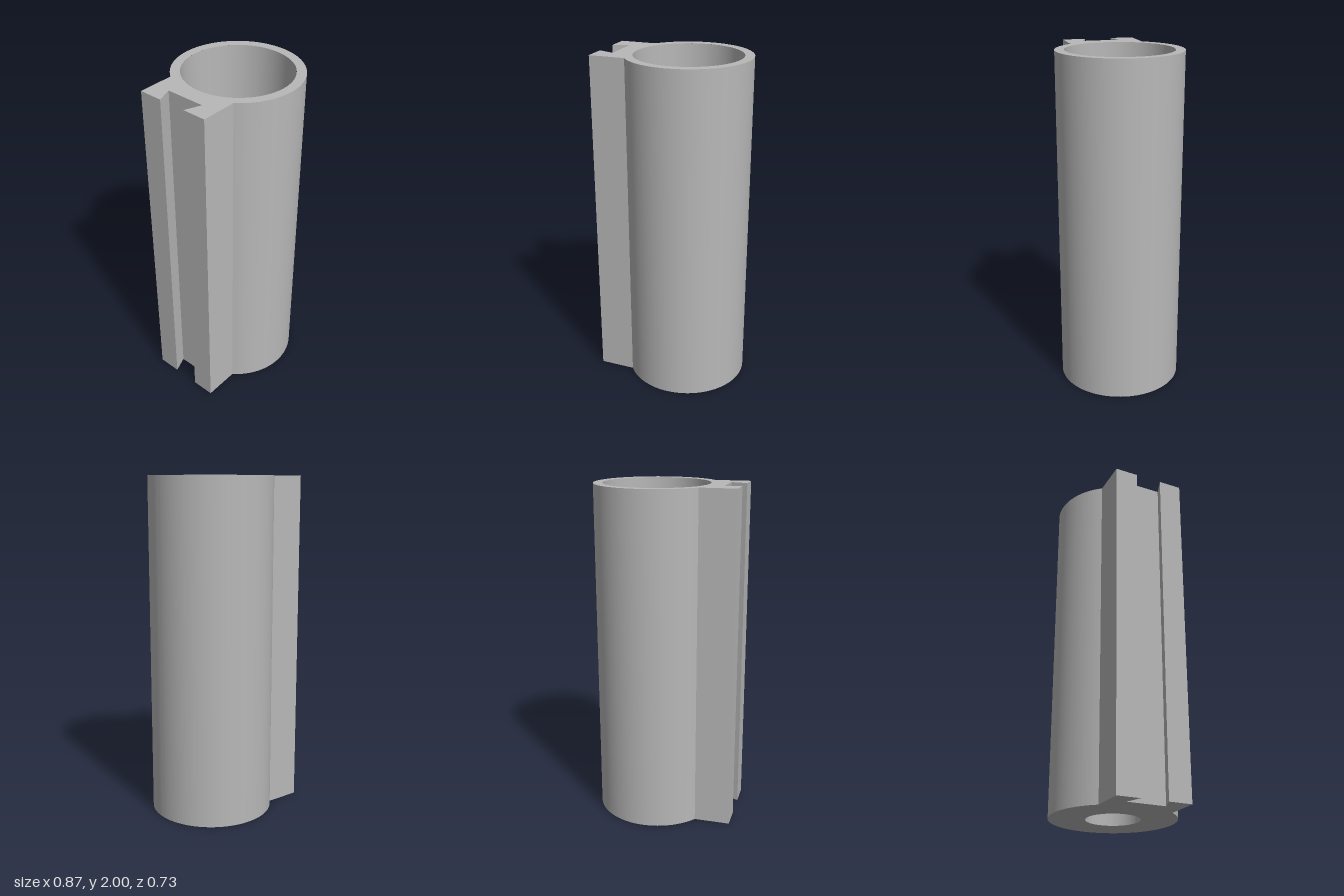
import * as THREE from 'three';
import { mergeGeometries, toCreasedNormals } from 'three/addons/utils/BufferGeometryUtils.js';

const H = 2, CX = 0.07, R = 0.363, BORE = 0.309, HOLE = 0.155, LUG = 0.217, SEG = 96;

// Round tube joined to a lug with a dovetail slot; optional hole through the tube centre
function outline(holeRadius) {
  const a = Math.PI - Math.asin(LUG / R);
  const s = new THREE.Shape();
  s.absarc(CX, 0, R, -a, a, false);
  [[-0.433, LUG], [-0.433, 0.08], [-0.338, 0.115], [-0.338, -0.115], [-0.433, -0.08], [-0.433, -LUG]]
    .forEach(([x, y]) => s.lineTo(x, y));
  s.closePath();
  if (holeRadius) s.holes.push(new THREE.Path().absarc(CX, 0, holeRadius, 0, Math.PI * 2, true));
  return s;
}

// Side walls only, with the extrusion's own caps dropped
function outerWalls() {
  const g = new THREE.ExtrudeGeometry(outline(), { depth: H, bevelEnabled: false, curveSegments: SEG });
  const { start, count } = g.groups[1];
  const walls = new THREE.BufferGeometry();
  for (const [name, size] of [['position', 3], ['normal', 3], ['uv', 2]]) {
    const part = g.attributes[name].array.slice(start * size, (start + count) * size);
    walls.setAttribute(name, new THREE.BufferAttribute(part, size));
  }
  return walls.rotateX(-Math.PI / 2);
}

export function createModel() {
  const grey = new THREE.MeshStandardMaterial({ color: 0xb8b8b8 });
  grey.name = 'plain grey';

  // End faces: wide bore at the top, small hole at the bottom
  const top = new THREE.ShapeGeometry(outline(BORE), SEG).rotateX(-Math.PI / 2).translate(0, H, 0);
  const bottom = new THREE.ShapeGeometry(outline(HOLE), SEG).rotateX(Math.PI / 2);

  // Interior from the top down: bore, floor, small hole with a ring groove
  const profile = [
    [BORE, H], [BORE, 0.25], [HOLE, 0.25], [HOLE, 0.165],
    [0.195, 0.165], [0.195, 0.09], [HOLE, 0.09], [HOLE, 0],
  ].map(([x, y]) => new THREE.Vector2(x, y));
  const interior = new THREE.LatheGeometry(profile, SEG).translate(CX, 0, 0);

  const body = mergeGeometries([outerWalls(), top.toNonIndexed(), bottom.toNonIndexed()]);
  const group = new THREE.Group();
  group.name = 'slottedTube';
  const add = (name, geometry) => {
    const mesh = new THREE.Mesh(toCreasedNormals(geometry, 0.5), grey);
    mesh.name = name;
    group.add(mesh);
  };
  add('tubeBodyWithDovetailLug', body);
  add('steppedBore', interior);
  return group;
}
